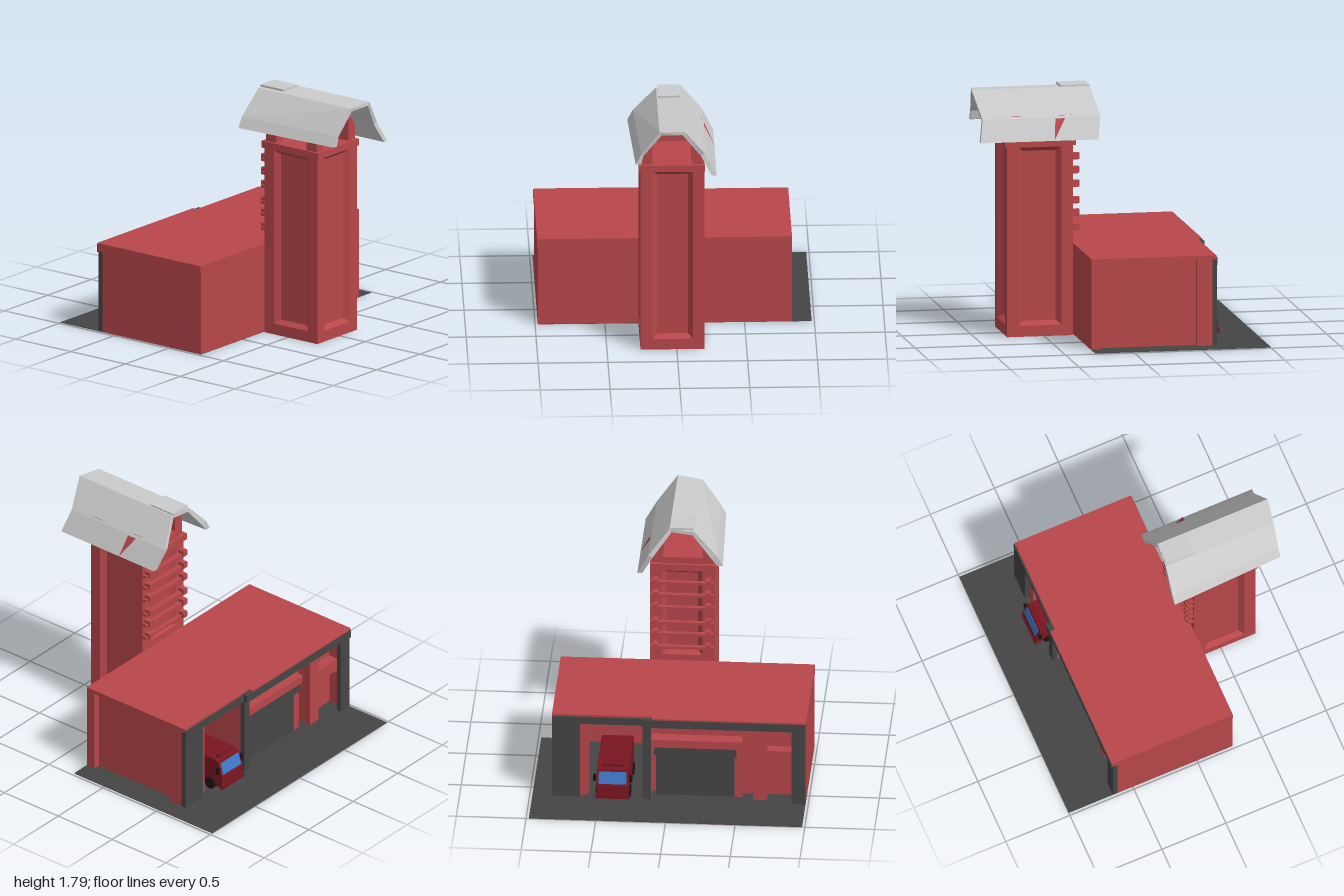
import * as THREE from 'three';

const mat = (color) => new THREE.MeshStandardMaterial({ color, flatShading: true, side: THREE.DoubleSide });

export function createModel() {
  const red = mat(0xb8474a), dark = mat(0x454545), grey = mat(0xcccccc);
  const paint = mat(0x7a1520), black = mat(0x151515), glass = mat(0x3f78c8), gold = mat(0xe0bd20);
  const model = new THREE.Group();
  model.name = 'fireStation';

  const group = (name) => {
    const g = new THREE.Group();
    g.name = name;
    model.add(g);
    return g;
  };
  const add = (parent, name, geometry, material) => {
    const m = new THREE.Mesh(geometry, material);
    m.name = name;
    parent.add(m);
    return m;
  };
  // Box given by its limits on each axis
  const box = (parent, name, material, [x0, x1], [y0, y1], [z0, z1]) => {
    const m = add(parent, name, new THREE.BoxGeometry(x1 - x0, y1 - y0, z1 - z0), material);
    m.position.set((x0 + x1) / 2, (y0 + y1) / 2, (z0 + z1) / 2);
    return m;
  };
  // Skin between equal closed loops of points
  const loft = (loops, capEnd) => {
    const n = loops[0].length, pos = loops.flat(2), idx = [];
    for (let j = 0; j < loops.length - 1; j++) {
      for (let i = 0; i < n; i++) {
        const a = j * n + i, b = j * n + (i + 1) % n;
        idx.push(a, b, b + n, a, b + n, a + n);
      }
    }
    const e = (loops.length - 1) * n;
    if (capEnd) for (let i = 1; i < n - 1; i++) idx.push(e, e + i, e + i + 1);
    const g = new THREE.BufferGeometry();
    g.setAttribute('position', new THREE.Float32BufferAttribute(pos, 3));
    g.setIndex(idx);
    const flat = g.toNonIndexed();
    flat.computeVertexNormals();
    return flat;
  };

  // Paved yard, with the red floor slab beneath
  const ground = group('ground');
  box(ground, 'yard', dark, [-0.98, 0.98], [0.001, 0.005], [-1, 0.28]);
  box(ground, 'floorUnderside', red, [-0.98, 0.75], [0, 0.001], [-0.5, 0.28]);
  box(ground, 'apronUnderside', red, [-0.93, -0.23], [0, 0.001], [-1, -0.5]);

  // Hall
  const hall = group('hall');
  box(hall, 'frontWall', red, [-0.98, 0.84], [0, 0.63], [0.24, 0.28]);
  box(hall, 'rightWall', red, [-0.98, -0.94], [0, 0.63], [-0.62, 0.24]);
  box(hall, 'leftWall', red, [0.74, 0.79], [0, 0.63], [-0.6, 0.24]);
  box(hall, 'leftFrontPier', red, [0.79, 0.84], [0, 0.63], [0.21, 0.24]);
  box(hall, 'leftRearPier', red, [0.79, 0.84], [0, 0.63], [-0.6, -0.49]);
  box(hall, 'partition', red, [0.13, 0.19], [0.005, 0.63], [-0.61, 0.24]);
  box(hall, 'rearWall', red, [-0.94, 0.13], [0.005, 0.63], [-0.5, -0.46]);
  box(hall, 'roofSlab', red, [-0.98, 0.84], [0.63, 0.66], [-0.63, 0.28]);
  box(hall, 'roofEdge', red, [-0.98, 0.12], [0.6, 0.66], [-0.665, -0.63]);
  box(hall, 'sideTrim', red, [-0.985, -0.98], [0.6, 0.66], [-0.66, 0.28]);
  box(hall, 'bayInnerPost', red, [0.58, 0.66], [0.005, 0.6], [-0.6, -0.5]);

  // Rear facade
  const facade = group('rearFacade');
  box(facade, 'bayOuterPost', dark, [0.64, 0.84], [0.005, 0.63], [-0.635, -0.6]);
  box(facade, 'bayInnerTrim', dark, [0.13, 0.19], [0.005, 0.63], [-0.645, -0.61]);
  box(facade, 'cornerPost', dark, [-0.98, -0.88], [0.005, 0.6], [-0.655, -0.62]);
  box(facade, 'bayFascia', dark, [0.19, 0.84], [0.59, 0.645], [-0.64, -0.6]);
  box(facade, 'longFascia', dark, [-0.98, 0.19], [0.59, 0.65], [-0.67, -0.62]);
  box(facade, 'shutter', dark, [-0.46, 0.1], [0.005, 0.36], [-0.56, -0.5]);
  box(facade, 'shutterRoll', dark, [-0.48, 0.11], [0.34, 0.4], [-0.6, -0.5]);
  box(facade, 'shutterLintel', red, [-0.52, 0.13], [0.4, 0.46], [-0.6, -0.5]);
  box(facade, 'pier', red, [-0.7, -0.6], [0.005, 0.6], [-0.6, -0.5]);
  box(facade, 'shutterJamb', red, [-0.52, -0.47], [0.005, 0.4], [-0.56, -0.5]);
  box(facade, 'ledge', red, [-0.94, -0.7], [0.3, 0.39], [-0.58, -0.5]);

  // Tower walls: four frames, each with a bevelled sunken panel
  const tower = group('tower');
  const rect = (w, y0, y1, z) => [[-w, y0, z], [w, y0, z], [w, y1, z], [-w, y1, z]];
  for (let i = 0; i < 4; i++) {
    const w = i % 2 ? 0.24 : 0.23, d = i % 2 ? 0.23 : 0.24, y0 = i === 2 ? 0.7 : 0.08;
    const wall = add(tower, 'towerWall', loft([
      rect(w, 0, 1.42, d), rect(w - 0.085, y0, 1.375, d),
      rect(w - 0.12, y0 + 0.03, 1.345, d - 0.035),
    ], true), red);
    wall.rotation.y = i * Math.PI / 2;
    wall.position.set(-0.03, 0, 0.53);
  }
  box(tower, 'cornice', red, [-0.272, 0.2], [1.38, 1.43], [0.27, 0.785]);
  box(tower, 'rearParapet', red, [-0.18, 0.12], [1.43, 1.48], [0.29, 0.33]);
  for (const x of [-0.255, 0.11]) {
    for (const z of [0.3, 0.67]) {
      box(tower, 'belfryPost', red, [x, x + 0.08], [1.43, 1.6], [z, z + 0.09]);
    }
  }
  // Climbing rungs on the back
  [0.77, 0.875, 0.965, 1.085, 1.185, 1.285].forEach((y) => {
    box(tower, 'rung', red, [-0.26, 0.2], [y - 0.01, y + 0.01], [0.255, 0.29]);
    for (const x of [-0.24, 0.14]) {
      box(tower, 'rungBracket', red, [x, x + 0.04], [y - 0.01, y + 0.035], [0.24, 0.29]);
    }
  });

  // Slightly crooked roof shell: [x, y, rear z, front z] across the gable
  const roof = group('belfryRoof');
  const outer = [
    [-0.32, 1.51, 0.11, 0.95], [-0.28, 1.585, 0.11, 0.95], [-0.13, 1.765, 0.13, 0.97],
    [0.05, 1.78, 0.14, 1.0], [0.2, 1.585, 0.09, 0.95], [0.28, 1.43, 0.12, 0.98],
  ];
  const inner = outer.map(([x, y, a, b], i) => [
    x + [0.04, 0.035, 0.015, -0.015, -0.035, -0.035][i], y - [0, 0.01, 0.025, 0.025, 0.01, 0][i], a, b]);
  const section = [...outer, ...inner.reverse()];
  const rear = section.map(([x, y, a]) => [x < -0.25 ? x - 0.015 : x, y, a]);
  const front = section.map(([x, y, , b]) => [x < -0.25 ? x + 0.02 : x, y, b]);
  add(roof, 'roofShell', loft([rear, front], false), grey);
  // End faces of the shell
  for (const end of [rear, front]) {
    for (let i = 0; i < 5; i++) {
      const q = [end[i], end[i + 1], end[10 - i], end[11 - i]];
      add(roof, 'roofEnd', loft([q], true), grey);
    }
  }
  box(roof, 'ridgeCap', grey, [-0.12, 0.04], [1.775, 1.79], [0.14, 0.35]);
  // Post corner showing through the roof slope
  add(roof, 'postCorner', loft([[[0.284, 1.435, 0.44], [0.207, 1.58, 0.35], [0.207, 1.58, 0.42]]], true), red);

  // Bell on its hanger
  const bell = group('bell');
  const cup = add(bell, 'bellCup', new THREE.CylinderGeometry(0.04, 0.042, 0.105, 8), gold);
  cup.position.set(-0.018, 1.635, 0.53);
  box(bell, 'bellHanger', dark, [-0.03, 0.02], [1.685, 1.76], [0.51, 0.55]);
  box(bell, 'hangerBeam', red, [-0.03, 0], [1.73, 1.76], [0.3, 0.9]);

  // Parked engine, cab facing the yard
  const truck = group('fireEngine');
  const side = new THREE.Shape([
    [0.71, 0.04], [0.705, 0.13], [0.67, 0.25], [0.62, 0.26], [0.15, 0.26], [0.15, 0.04],
  ].map(([z, y]) => new THREE.Vector2(z, y)));
  const body = add(truck, 'truckBody', new THREE.ExtrudeGeometry(side, { depth: 0.23, bevelEnabled: false }), paint);
  body.rotation.y = Math.PI / 2;
  body.position.x = 0.285;
  box(truck, 'bumper', paint, [0.28, 0.52], [0.035, 0.07], [-0.715, -0.69]);
  const screen = box(truck, 'windscreen', glass, [0.3, 0.5], [0.145, 0.235], [-0.694, -0.69]);
  screen.rotation.x = 0.283;
  box(truck, 'roofLight', paint, [0.32, 0.48], [0.26, 0.28], [-0.65, -0.62]);
  for (const x of [0.27, 0.53]) {
    box(truck, 'mirror', black, [x - 0.01, x + 0.01], [0.16, 0.21], [-0.69, -0.67]);
    for (const z of [-0.6, -0.25]) {
      const wheel = add(truck, 'wheel', new THREE.CylinderGeometry(0.045, 0.045, 0.04, 12), black);
      wheel.rotation.z = Math.PI / 2;
      wheel.position.set(x === 0.27 ? 0.295 : 0.505, 0.05, z);
    }
  }
  return model;
}
